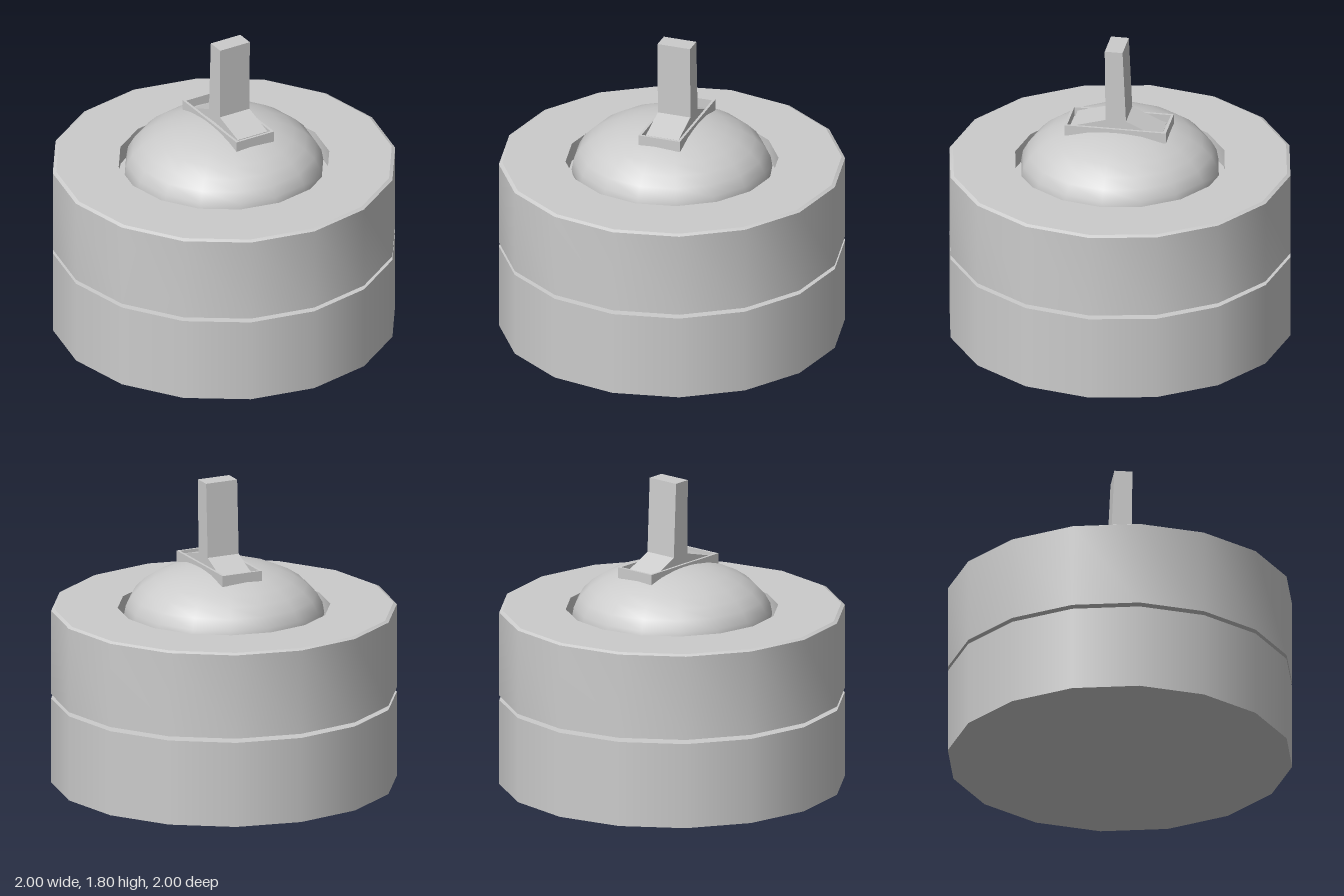
import * as THREE from 'three';
import { toCreasedNormals } from 'three/addons/utils/BufferGeometryUtils.js';

const SIDES = 16;
const grey = new THREE.MeshStandardMaterial({ color: 0xcccccc });

function part(name, geometry, parent) {
  const mesh = new THREE.Mesh(geometry, grey);
  mesh.name = name;
  parent.add(mesh);
  return mesh;
}

const points = (list) => list.map(([x, y]) => new THREE.Vector2(x, y));
const lathe = (list) => toCreasedNormals(new THREE.LatheGeometry(points(list), SIDES), 0.45);

export function createModel() {
  const model = new THREE.Group();
  model.name = 'switchOnRoundBase';

  // Lower drum
  part('lowerDrum', new THREE.CylinderGeometry(1, 1, 0.505, SIDES), model).position.y = 0.2525;

  // Upper drum with a small bevel and a round recess in its top
  part('upperDrum', lathe([
    [0, 0.53], [1, 0.53], [1, 1.03], [0.98, 1.04],
    [0.615, 1.04], [0.615, 0.93], [0, 0.93],
  ]), model);

  // Flattened dome sitting in the recess
  const dome = part('dome', new THREE.SphereGeometry(0.58, SIDES, 16), model);
  dome.scale.y = 0.315 / 0.58;
  dome.position.y = 0.99;

  // Switch assembly, slightly off centre
  const lever = new THREE.Group();
  lever.name = 'switch';
  lever.position.x = 0.03;
  model.add(lever);

  // Open rectangular frame around the lever
  const w = 0.127, d = 0.298, t = 0.015;
  const outline = new THREE.Shape(points([[-w, -d], [w, -d], [w, d], [-w, d]]));
  outline.holes.push(new THREE.Path(points([
    [t - w, t - d], [t - w, d - t], [w - t, d - t], [w - t, t - d],
  ])));
  const frame = new THREE.ExtrudeGeometry(outline, { depth: 0.065, bevelEnabled: false });
  frame.rotateX(-Math.PI / 2);
  part('leverFrame', frame, lever).position.y = 1.25;

  // Lever with sloped feet, drawn as a side profile (z, y)
  const profile = new THREE.Shape(points([
    [-0.26, 1.2], [0.26, 1.2], [0.26, 1.304], [0.06, 1.36],
    [0.065, 1.8], [-0.04, 1.8], [-0.06, 1.36], [-0.26, 1.27],
  ]));
  const stick = new THREE.ExtrudeGeometry(profile, { depth: 0.2, bevelEnabled: false });
  stick.translate(0, 0, -0.1).rotateY(-Math.PI / 2);
  part('lever', stick, lever).position.x = 0.005;

  return model;
}
